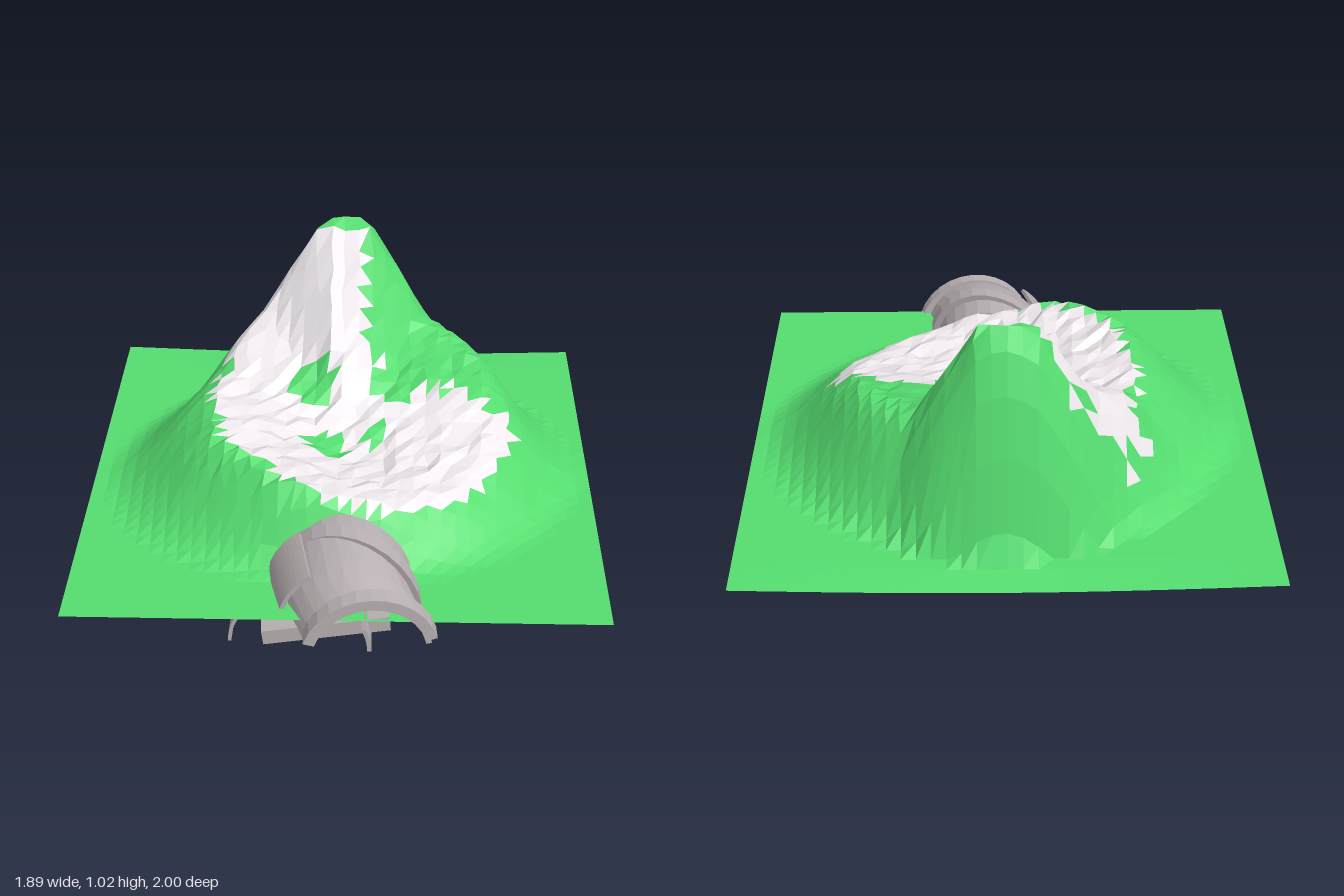
import * as THREE from 'three';

const DOUBLE = { side: THREE.DoubleSide, flatShading: true };
const GROUND = 0.23, FLOOR = 0.46, PEAK = 1.04;

// Hill outline every 30 degrees from +x towards +z: rim radius, rim height, foot radius, slope power
const RIM = [
  [0.54, 0.48, 0.94, 0.9], [0.52, 0.41, 0.84, 0.85], [0.5, 0.41, 0.76, 0.75], [0.5, 0.46, 0.66, 0.8],
  [0.5, 0.54, 0.76, 0.75], [0.5, 0.55, 0.88, 0.8], [0.47, 0.53, 0.93, 0.95], [0.5, 0.54, 0.88, 0.9],
  [0.57, 0.7, 0.85, 1.2], [0.61, 1.17, 0.86, 1.5], [0.58, 0.65, 0.86, 1.3], [0.58, 0.59, 0.92, 0.85],
];

const noise = (x, z) => {
  const s = Math.sin(x * 127.1 + z * 311.7) * 43758.5453;
  return (s - Math.floor(s)) * 2 - 1;
};

// Height of the crater-topped hill at a ground point
function height(x, z) {
  const r = Math.hypot(x, z);
  const a = ((Math.atan2(z, x) / (Math.PI * 2) + 1) % 1) * 12;
  const i = Math.floor(a) % 12, f = a - Math.floor(a);
  const [rimR, rimRaw, footR, power] = RIM[i].map((v, k) => THREE.MathUtils.lerp(v, RIM[(i + 1) % 12][k], f));
  const rimH = Math.min(rimRaw, PEAK);
  if (r >= footR) return GROUND - Math.max(0, -0.86 - z) * 0.15 * Math.cos(x * 1.6);
  if (r < rimR) {
    const dip = 0.05 * Math.exp(-(x * x + (z - 0.15) ** 2) / 0.04);
    const h = FLOOR - dip + (rimH - FLOOR) * Math.pow(r / rimR, 1.35);
    return h + noise(x, z) * (z < -0.3 ? 0.004 : 0.014);
  }
  const t = (r - rimR) / (footR - rimR);
  const steep = THREE.MathUtils.smoothstep(rimH, 0.6, 0.9);
  const fall = THREE.MathUtils.lerp((1 + Math.cos(Math.pow(t, power) * Math.PI)) / 2, 1 - Math.pow(t, 1.9), steep);
  return GROUND + (rimH - GROUND) * fall + noise(x, z) * 0.006 * (1 - t);
}

// Rock fills the crater and the front of the peak, with grassy patches
function isRock(x, z) {
  const n = noise(x * 3, z * 2) * 0.05;
  const bowl = Math.hypot((x - 0.07) / 0.55, (z + 0.02) / 0.53) < 1 + n;
  const peakFace = x > -0.48 + n && x < 0.08 && z > -0.62 + n && z < 0;
  const grassySide = x > 0.08 && z < -0.3 + (x - 0.1) * 0.5 + n;
  const patch = [[-0.12, -0.18, 0.08], [-0.06, 0.1, 0.08], [0.12, 0.03, 0.05], [0.2, -0.2, 0.09]]
    .some(([px, pz, pr]) => Math.hypot(x - px, z - pz) < pr);
  return (bowl || peakFace) && !grassySide && !patch && !(z < -0.57 && x > -0.12);
}

function makeMesh(name, positions, material) {
  const g = new THREE.BufferGeometry();
  g.setAttribute('position', new THREE.Float32BufferAttribute(positions, 3));
  g.computeVertexNormals();
  const m = new THREE.Mesh(g, material);
  m.name = name;
  return m;
}

// Terrain grid split into grass and rock triangles
function makeTerrain(grass, rock) {
  const N = 36, green = [], grey = [];
  const point = (i, j) => {
    const x = -0.95 + (1.89 * i) / N, z = -1 + (1.9 * j) / N;
    const shift = Math.hypot(x, z) < 0.65 ? 0.011 : 0;
    const px = x + noise(i, j) * shift, pz = z + noise(j, i + 7) * shift;
    return [px, height(px, pz), pz];
  };
  for (let i = 0; i < N; i++) for (let j = 0; j < N; j++) {
    const a = point(i, j), b = point(i, j + 1), c = point(i + 1, j + 1), d = point(i + 1, j);
    for (const tri of [[a, b, d], [b, c, d]]) {
      const x = (tri[0][0] + tri[1][0] + tri[2][0]) / 3;
      const z = (tri[0][2] + tri[1][2] + tri[2][2]) / 3;
      (isRock(x, z) ? grey : green).push(...tri.flat());
    }
  }
  const group = new THREE.Group();
  group.name = 'terrain';
  group.add(makeMesh('grass', green, grass), makeMesh('craterRock', grey, rock));
  return group;
}

// Thick curved shell lofted through arcs; section = [x, y, z, yaw, radius], angles in degrees
function makeShell(name, sections, thick, from, to, material) {
  const steps = 12, out = [];
  const at = ([cx, cy, cz, yaw, r], k, inset) => {
    const a = THREE.MathUtils.degToRad(from + ((to - from) * k) / steps);
    const u = Math.cos(a) * (r - inset);
    return [cx + u * Math.cos(yaw), cy + Math.sin(a) * (r - inset), cz + u * Math.sin(yaw)];
  };
  const quad = (a, b, c, d) => out.push(...a, ...b, ...c, ...a, ...c, ...d);
  const last = sections.length - 1;
  for (let k = 0; k < steps; k++) {
    for (let s = 0; s < last; s++) {
      const p = sections[s], q = sections[s + 1];
      quad(at(p, k, 0), at(q, k, 0), at(q, k + 1, 0), at(p, k + 1, 0));
      quad(at(p, k + 1, thick), at(q, k + 1, thick), at(q, k, thick), at(p, k, thick));
    }
    const p = sections[0], q = sections[last];
    quad(at(p, k, thick), at(p, k, 0), at(p, k + 1, 0), at(p, k + 1, thick));
    quad(at(q, k, 0), at(q, k, thick), at(q, k + 1, thick), at(q, k + 1, 0));
  }
  for (let s = 0; s < last; s++) {
    const p = sections[s], q = sections[s + 1];
    quad(at(p, 0, thick), at(q, 0, thick), at(q, 0, 0), at(p, 0, 0));
    quad(at(p, steps, 0), at(q, steps, 0), at(q, steps, thick), at(p, steps, thick));
  }
  return makeMesh(name, out, material);
}

export function createModel() {
  const grass = new THREE.MeshStandardMaterial({ color: 0x55dd70, ...DOUBLE });
  const rock = new THREE.MeshStandardMaterial({ color: 0xf0eaee, ...DOUBLE });
  const stone = new THREE.MeshStandardMaterial({ color: 0xb8b0b2, ...DOUBLE });
  const model = new THREE.Group();
  model.name = 'craterHill';
  model.add(makeTerrain(grass, rock));

  // Bending tunnel mouth with two raised collars
  const tunnel = new THREE.Group();
  tunnel.name = 'tunnel';
  tunnel.add(
    makeShell('tunnelVault', [[0.03, 0.18, 0.54, 0.25, 0.24], [0.03, 0.175, 0.7, 0.33, 0.255],
      [0.06, 0.15, 0.83, 0.1, 0.245], [0.11, 0.13, 0.95, -0.12, 0.22]], 0.02, 8, 165, stone),
    makeShell('middleCollar', [[0.04, 0.175, 0.64, 0.36, 0.27], [0.045, 0.17, 0.71, 0.36, 0.27]], 0.04, 10, 160, stone),
    makeShell('frontCollar', [[0.11, 0.135, 0.91, -0.12, 0.24], [0.115, 0.13, 0.97, -0.12, 0.24]], 0.04, 16, 162, stone),
    makeShell('rightSkirt', [[0.02, 0.17, 0.62, 0, 0.28], [0.06, 0.15, 0.84, 0, 0.27]], 0.015, 125, 172, stone),
    // Buried linings either side of the passage
    makeShell('rightLining', [[-0.18, 0.04, 0.25, 0, 0.2], [-0.19, 0.01, 0.74, 0, 0.2]], 0.012, 120, 180, stone),
    makeShell('leftLining', [[-0.1, 0.14, 0.13, 0, 0.22], [-0.1, 0.14, 0.95, 0, 0.22]], 0.015, 0, 25, stone),
  );

  // Tilted passage floor running under the hill, with a grassy left edge
  const floor = new THREE.Mesh(new THREE.BoxGeometry(0.44, 0.055, 1.36),
    [grass, stone, stone, stone, stone, stone]);
  floor.name = 'passageFloor';
  floor.position.set(-0.07, 0.185, 0.22);
  floor.rotation.set(0, 0.05, 0.12);
  tunnel.add(floor);
  model.add(tunnel);
  return model;
}
